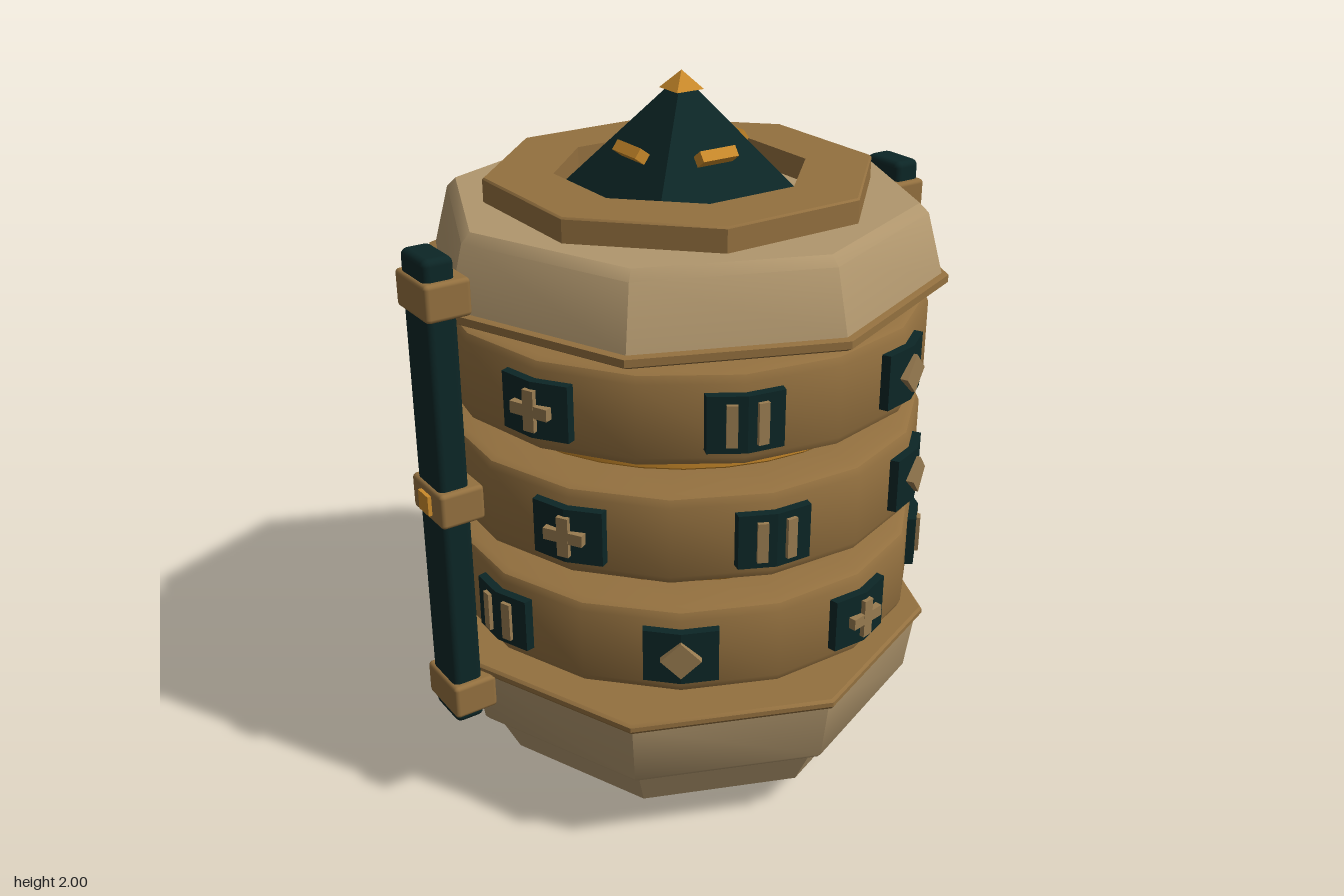
import * as THREE from 'three';
import { toCreasedNormals } from 'three/addons/utils/BufferGeometryUtils.js';
import { RoundedBoxGeometry } from 'three/addons/geometries/RoundedBoxGeometry.js';

const flat = (name, color) => {
  const m = new THREE.MeshStandardMaterial({ color });
  m.name = name;
  return m;
};

export function createModel() {
  const tan = flat('tan shell', 0xb0966d);
  const brown = flat('brown band', 0x93703f);
  const dark = flat('dark green', 0x0c2626);
  const gold = flat('gold', 0xc9892a);
  const pale = flat('symbol brown', 0x987b50);
  const root = new THREE.Group();

  const add = (name, geo, mat, parent = root, x = 0, y = 0, z = 0) => {
    const mesh = new THREE.Mesh(geo, mat);
    mesh.name = name;
    mesh.position.set(x, y, z);
    parent.add(mesh);
    return mesh;
  };
  const group = (name, parent = root) => {
    const g = new THREE.Group();
    g.name = name;
    parent.add(g);
    return g;
  };
  // Turned part with a profile of [radius, height] from bottom to top
  const turned = (name, profile, sides, mat, start = 0) => {
    const pts = profile.map(([r, y]) => new THREE.Vector2(r, y));
    return add(name, toCreasedNormals(new THREE.LatheGeometry(pts, sides, start), 0.6), mat);
  };
  const box = (w, h, d) => new THREE.BoxGeometry(w, h, d);

  // Octagonal lower shell and feet
  turned('foot', [[0, 0], [0.29, 0], [0.335, 0.04], [0, 0.04]], 8, brown);
  turned('darkBase', [[0, 0.04], [0.445, 0.04], [0.525, 0.105], [0, 0.105]], 8, dark);
  turned('lowerBowl', [[0, 0.1], [0.57, 0.1], [0.637, 0.235], [0, 0.235]], 8, tan);
  turned('lowerShell', [[0, 0.235], [0.662, 0.235], [0.675, 0.25], [0.7, 0.43], [0, 0.43]], 8, tan);
  turned('lowerRim', [[0, 0.425], [0.71, 0.425], [0.718, 0.435], [0.718, 0.448], [0.71, 0.455], [0, 0.455]], 8, brown);

  // Inner core with gold rings between the bands
  turned('core', [[0.505, 0.43], [0.505, 1.47]], 32, dark);
  for (const y of [0.49, 0.815, 1.14, 1.468]) {
    turned('goldRing', [[0.5, y - 0.016], [0.55, y - 0.016], [0.556, y - 0.01],
      [0.556, y + 0.01], [0.55, y + 0.016], [0.5, y + 0.016]], 32, gold);
  }

  // Symbols raised on the plates
  const symbols = {
    diamond(g) {
      add('diamond', box(0.075, 0.075, 0.04), pale, g, 0, 0, 0.685).rotation.z = Math.PI / 4;
    },
    cross(g) {
      add('crossUpright', box(0.032, 0.11, 0.04), pale, g, 0, 0, 0.685);
      add('crossArm', box(0.11, 0.032, 0.04), pale, g, 0, 0, 0.6845);
    },
    bars(g) {
      for (const s of [-1, 1]) {
        add('bar', box(0.028, 0.11, 0.04), pale, g, s * 0.036, 0, 0.678).rotation.y = s * Math.PI / 16;
      }
    },
  };
  // Plate folded along its middle to follow the band
  const plateGeo = new THREE.BoxGeometry(0.195, 0.15, 0.055, 2, 1, 1);
  const pos = plateGeo.attributes.position;
  for (let i = 0; i < pos.count; i++) pos.setZ(i, pos.getZ(i) - 0.199 * Math.abs(pos.getX(i)));
  const foldedPlate = toCreasedNormals(plateGeo, 0.3);

  // Three turning bands, each with eight symbol plates
  const cycle = ['diamond', 'bars', 'cross'];
  const bands = [
    { y: 0.655, angle: 55.5, first: 1 },
    { y: 0.98, angle: 30.7, first: 0 },
    { y: 1.308, angle: 68.8, first: 2 },
  ];
  for (const { y, angle, first } of bands) {
    const start = THREE.MathUtils.degToRad(angle);
    turned('band', [[0.5, y - 0.125], [0.642, y - 0.125], [0.661, y - 0.117], [0.67, y - 0.097],
      [0.67, y + 0.097], [0.661, y + 0.117], [0.642, y + 0.125], [0.5, y + 0.125]], 16, brown, start);
    for (let i = 0; i < 8; i++) {
      const g = group('symbolPlate');
      g.position.y = y;
      g.rotation.y = start - i * Math.PI / 4;
      add('plate', foldedPlate, dark, g, 0, 0, 0.667);
      symbols[cycle[(first + i) % 3]](g);
    }
  }

  // Octagonal lid, rim and collar
  turned('lidRim', [[0, 1.458], [0.7, 1.458], [0.718, 1.468], [0.718, 1.488], [0.7, 1.492], [0, 1.492]], 8, brown);
  turned('lid', [[0, 1.49], [0.7, 1.49], [0.655, 1.655], [0.63, 1.68], [0, 1.68]], 8, tan);
  turned('collar', [[0.341, 1.67], [0.527, 1.67], [0.527, 1.74], [0.522, 1.745], [0.341, 1.745], [0.341, 1.67]],
    8, brown, Math.PI / 8);

  // Pyramid with gold tip and a gold bar on each face
  const pyramid = (half, height) =>
    toCreasedNormals(new THREE.ConeGeometry(half * Math.SQRT2, height, 4).rotateY(Math.PI / 4), 0.3);
  add('pyramid', pyramid(0.24, 0.32), dark, root, 0, 1.83, 0);
  add('goldTip', pyramid(0.042, 0.048), gold, root, 0, 1.976, 0);
  for (let i = 0; i < 4; i++) {
    const side = group('pyramidSide');
    side.rotation.y = i * Math.PI / 2;
    add('goldBar', box(0.11, 0.03, 0.06), gold, side, 0, 1.8, 0.148).rotation.x = -Math.atan2(0.24, 0.32);
  }

  // Side posts held by brackets
  for (const s of [-1, 1]) {
    const side = group(s > 0 ? 'leftPost' : 'rightPost');
    add('post', new RoundedBoxGeometry(0.084, 1.345, 0.138, 2, 0.018), dark, side, s * 0.75, 0.982, 0);
    for (const y of [0.388, 0.98, 1.548]) {
      add('bracket', new RoundedBoxGeometry(0.125, 0.1, 0.172, 2, 0.012), brown, side, s * 0.738, y, 0);
    }
    add('goldStud', box(0.04, 0.056, 0.056), gold, side, s * 0.791, 0.98, 0);
  }
  return root;
}
